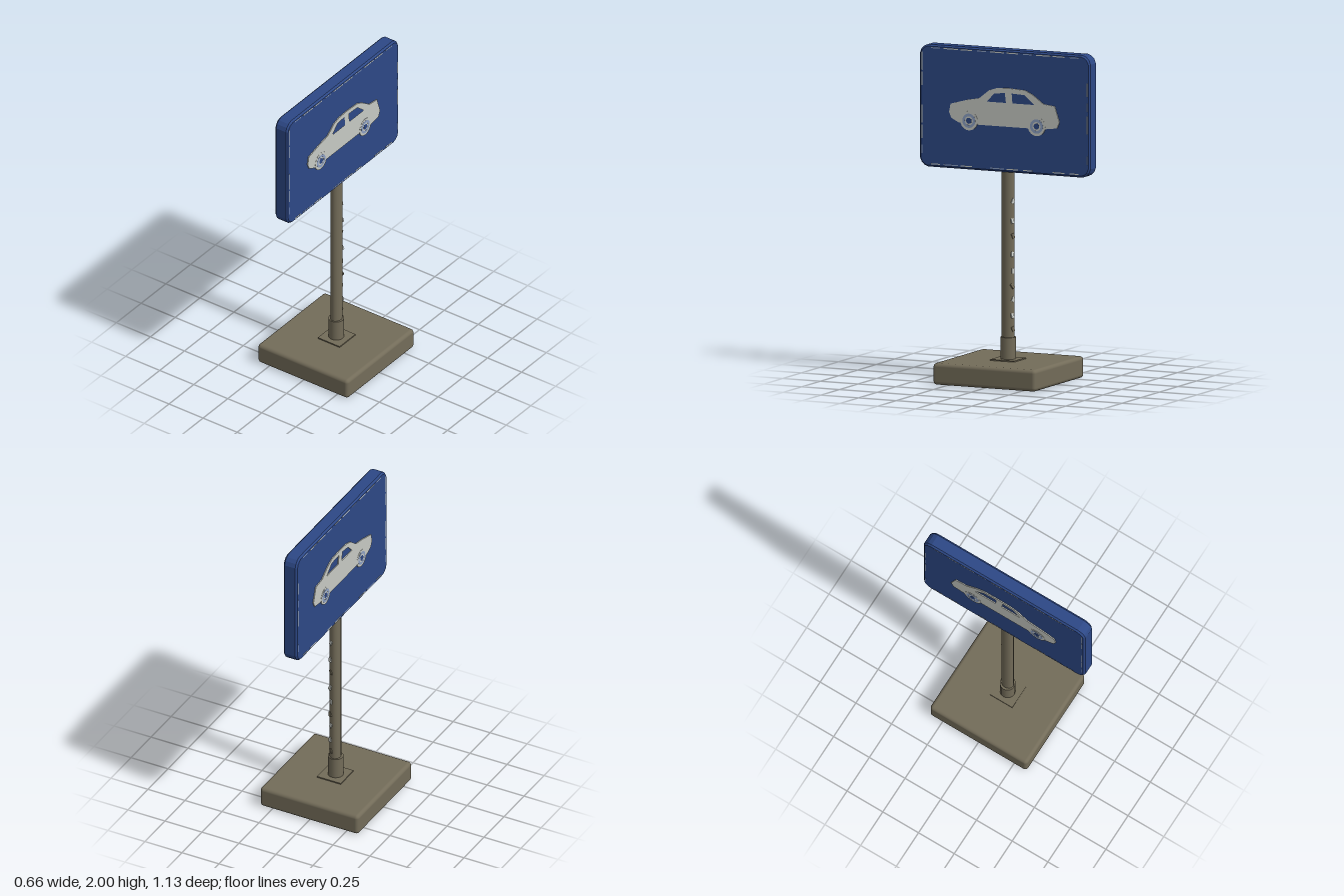
import * as THREE from 'three';
import { RoundedBoxGeometry } from 'three/addons/geometries/RoundedBoxGeometry.js';

const mat = (name, color) => {
  const m = new THREE.MeshStandardMaterial({ color });
  m.name = name;
  return m;
};

export function createModel() {
  const model = new THREE.Group();
  const stone = mat('weathered concrete', 0x736c59);
  const blue = mat('sign blue', 0x2d4886);
  const white = mat('off white', 0xc6c9c3);
  const pale = mat('worn pale blue', 0x8c9fc2);

  const add = (name, geo, material, x = 0, y = 0, z = 0, parent = model) => {
    const mesh = new THREE.Mesh(geo, material);
    mesh.name = name;
    mesh.position.set(x, y, z);
    parent.add(mesh);
    return mesh;
  };

  // Foot slab, seat plate, collar and pole
  add('base', new RoundedBoxGeometry(0.664, 0.13, 0.68, 3, 0.022), stone, 0, 0.068, 0);
  add('basePlate', new THREE.BoxGeometry(0.16, 0.012, 0.16), stone, 0.005, 0.134, 0);
  add('collar', new THREE.CylinderGeometry(0.047, 0.047, 0.14, 16), stone, 0.002, 0.2, 0);
  const pole = add('pole', new THREE.CylinderGeometry(0.04, 0.04, 1.05, 14), stone, 0.003, 0.76, 0);
  pole.scale.x = 0.83;

  // Chipped paint along the back of the pole
  [0.32, 0.4, 0.5, 0.58, 0.67, 0.77, 0.88, 0.97, 1.09].forEach((y, i) => {
    const chip = add('paintChip', new THREE.BoxGeometry(0.018, 0.03, 0.01), i % 3 ? white : stone,
      0.014 + 0.006 * (i % 2), y, -0.036);
    chip.rotation.set(0.3 * (i % 2), -0.45, 0.4 * ((i % 3) - 1));
  });

  // Sign board: rounded rectangle, extruded across x with a small bevel
  const W = 0.555, y0 = 1.275, y1 = 1.99, c = 0.045;
  const outline = new THREE.Shape();
  outline.moveTo(-W + c, y0);
  outline.lineTo(W - c, y0);
  outline.quadraticCurveTo(W - 0.008, y0 + 0.008, W, y0 + c);
  outline.lineTo(W, y1 - c);
  outline.quadraticCurveTo(W - 0.008, y1 - 0.008, W - c, y1);
  outline.lineTo(-W + c, y1);
  outline.quadraticCurveTo(-W + 0.008, y1 - 0.008, -W, y1 - c);
  outline.lineTo(-W, y0 + c);
  outline.quadraticCurveTo(-W + 0.008, y0 + 0.008, -W + c, y0);
  const boardGeo = new THREE.ExtrudeGeometry(outline, {
    depth: 0.071, bevelEnabled: true, bevelSize: 0.01, bevelThickness: 0.011, bevelSegments: 1, curveSegments: 3,
  });
  boardGeo.translate(0, 0, -0.0355).rotateY(Math.PI / 2);
  add('signBoard', boardGeo, blue, 0.006, 0, 0);

  // Car pictogram, nose towards +z
  const body = [
    [-0.35, 1.57], [-0.365, 1.605], [-0.355, 1.655], [-0.245, 1.685], [-0.165, 1.7], [-0.1, 1.752],
    [-0.05, 1.768], [0.03, 1.772], [0.14, 1.766], [0.19, 1.742], [0.26, 1.692], [0.335, 1.683],
    [0.352, 1.63], [0.366, 1.59], [0.35, 1.552], [0.275, 1.542], [0.153, 1.54], [-0.17, 1.54], [-0.3, 1.545],
  ];
  const windows = [
    [[-0.115, 1.683], [-0.065, 1.735], [0.005, 1.742], [0.012, 1.683]],
    [[0.055, 1.683], [0.05, 1.742], [0.135, 1.738], [0.2, 1.683]],
  ];
  const wheels = [[-0.233, 1.56], [0.215, 1.555]];

  for (const s of [1, -1]) {
    const side = new THREE.Group();
    side.name = s > 0 ? 'leftFace' : 'rightFace';
    const face = s > 0 ? 0.0525 : -0.0405;
    const toPts = (list) => list.map(([u, v]) => new THREE.Vector2(u * s, v));
    const plate = (name, shape, material, thick, lift = 0) => {
      const geo = new THREE.ExtrudeGeometry(shape, { depth: thick, bevelEnabled: false, curveSegments: 10 });
      geo.rotateY(s * Math.PI / 2);
      add(name, geo, material, face + s * lift, 0, 0, side);
    };
    const disc = (u, v, r, hole) => {
      const shape = new THREE.Shape().absarc(u * s, v, r, 0, Math.PI * 2);
      if (hole) shape.holes.push(new THREE.Path().absarc(u * s, v, hole, 0, Math.PI * 2, true));
      return shape;
    };

    const car = new THREE.Shape(toPts(body));
    windows.forEach((w) => car.holes.push(new THREE.Path(toPts(w))));
    plate('carBody', car, white, 0.006);
    for (const [u, v] of wheels) {
      plate('wheel', disc(u, v, 0.058), white, 0.007);
      plate('wheelRing', disc(u, v, 0.043, 0.027), pale, 0.001, 0.007);
      plate('wheelHub', disc(u, v, 0.018), blue, 0.001, 0.007);
    }

    // Worn border line, broken into dashes
    const dash = (u, v, w, h, i) =>
      add('borderDash', new THREE.BoxGeometry(0.002, h, w), i % 3 ? white : pale, face, v, u, side);
    for (let i = 0; i < 10; i++) {
      const len = 0.06 + 0.035 * ((i * 7) % 3) / 2;
      const u = -0.46 + i * 0.102;
      dash(u, 1.982, len, 0.006, i);
      if (i % 4 !== 2) dash(u, 1.284, len, 0.006, i + 1);
    }
    for (let i = 0; i < 6; i++) {
      const len = 0.05 + 0.03 * (i % 3);
      for (const e of [1, -1]) if ((i + e) % 4) dash(e * 0.546, 1.37 + i * 0.106, 0.005, len, i);
    }
    model.add(side);
  }
  return model;
}
